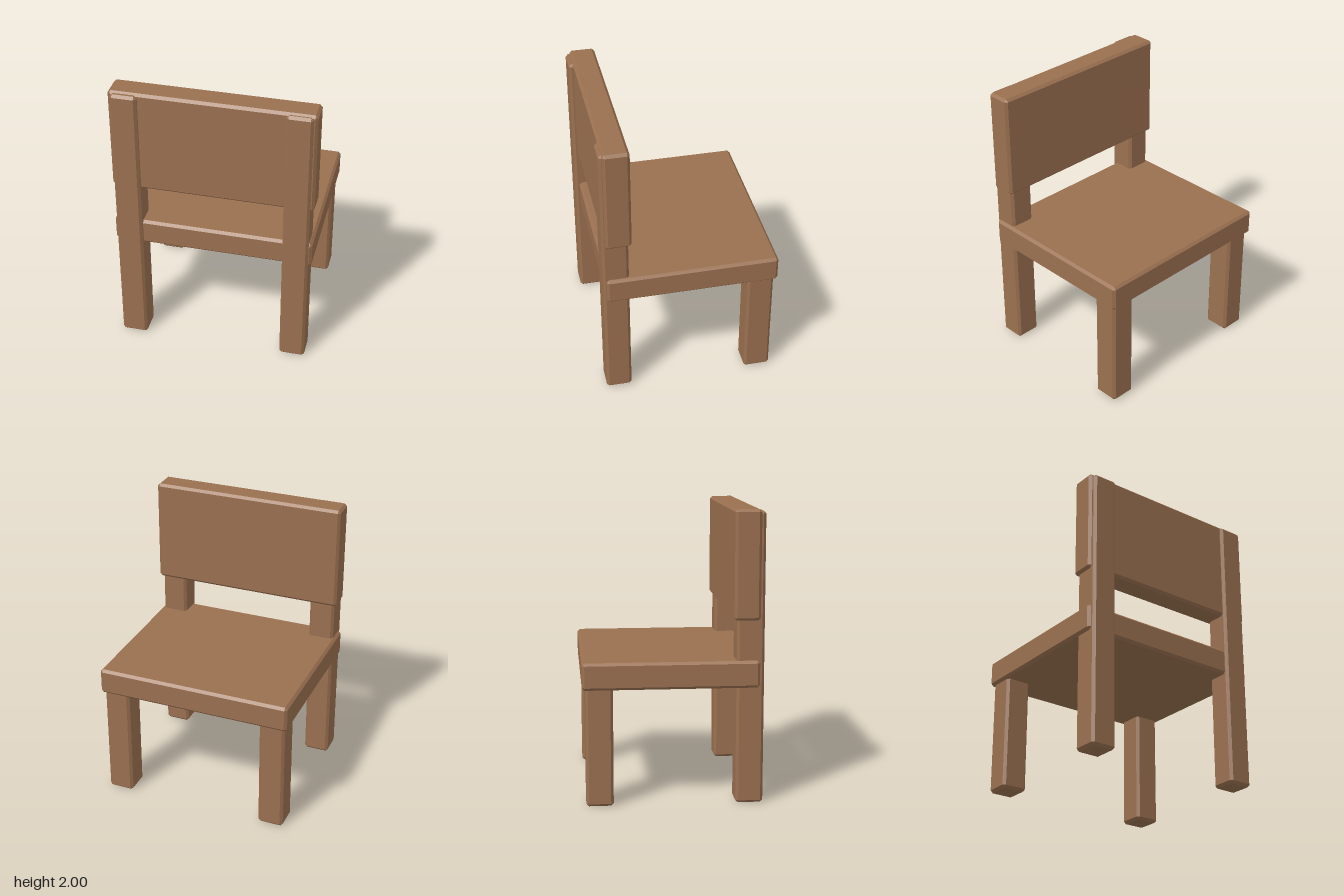
import * as THREE from 'three';
import { ConvexGeometry } from 'three/addons/geometries/ConvexGeometry.js';

// Box between two corners with every edge and corner chamfered
function chamferedBox(min, max, bevel = 0.018) {
  const centre = min.map((v, i) => (v + max[i]) / 2);
  const half = min.map((v, i) => (max[i] - v) / 2);
  const points = [];
  for (const sx of [-1, 1]) for (const sy of [-1, 1]) for (const sz of [-1, 1]) {
    const sign = [sx, sy, sz];
    for (let face = 0; face < 3; face++) {
      const p = centre.map((c, i) => c + sign[i] * (half[i] - (i === face ? 0 : bevel)));
      points.push(new THREE.Vector3(...p));
    }
  }
  return new ConvexGeometry(points);
}

export function createModel() {
  const chair = new THREE.Group();
  chair.name = 'chair';
  const wood = new THREE.MeshStandardMaterial({ color: 0x9a7050 });
  wood.name = 'brown wood';

  const add = (name, min, max) => {
    const mesh = new THREE.Mesh(chamferedBox(min, max), wood);
    mesh.name = name;
    chair.add(mesh);
  };

  // Seat and backrest
  add('seat', [-0.695, 0.805, -0.613], [0.69, 0.99, 0.582]);
  add('backrest', [-0.695, 1.262, 0.405], [0.693, 2, 0.582]);

  // Tall posts carrying the backrest, slightly proud of it
  add('rightPost', [-0.675, 0, 0.425], [-0.493, 1.988, 0.612]);
  add('leftPost', [0.488, 0, 0.425], [0.668, 1.988, 0.604]);

  // Short legs under the opposite edge of the seat
  add('rightLeg', [-0.675, 0, -0.59], [-0.493, 0.86, -0.405]);
  add('leftLeg', [0.485, 0, -0.59], [0.668, 0.86, -0.405]);

  return chair;
}
